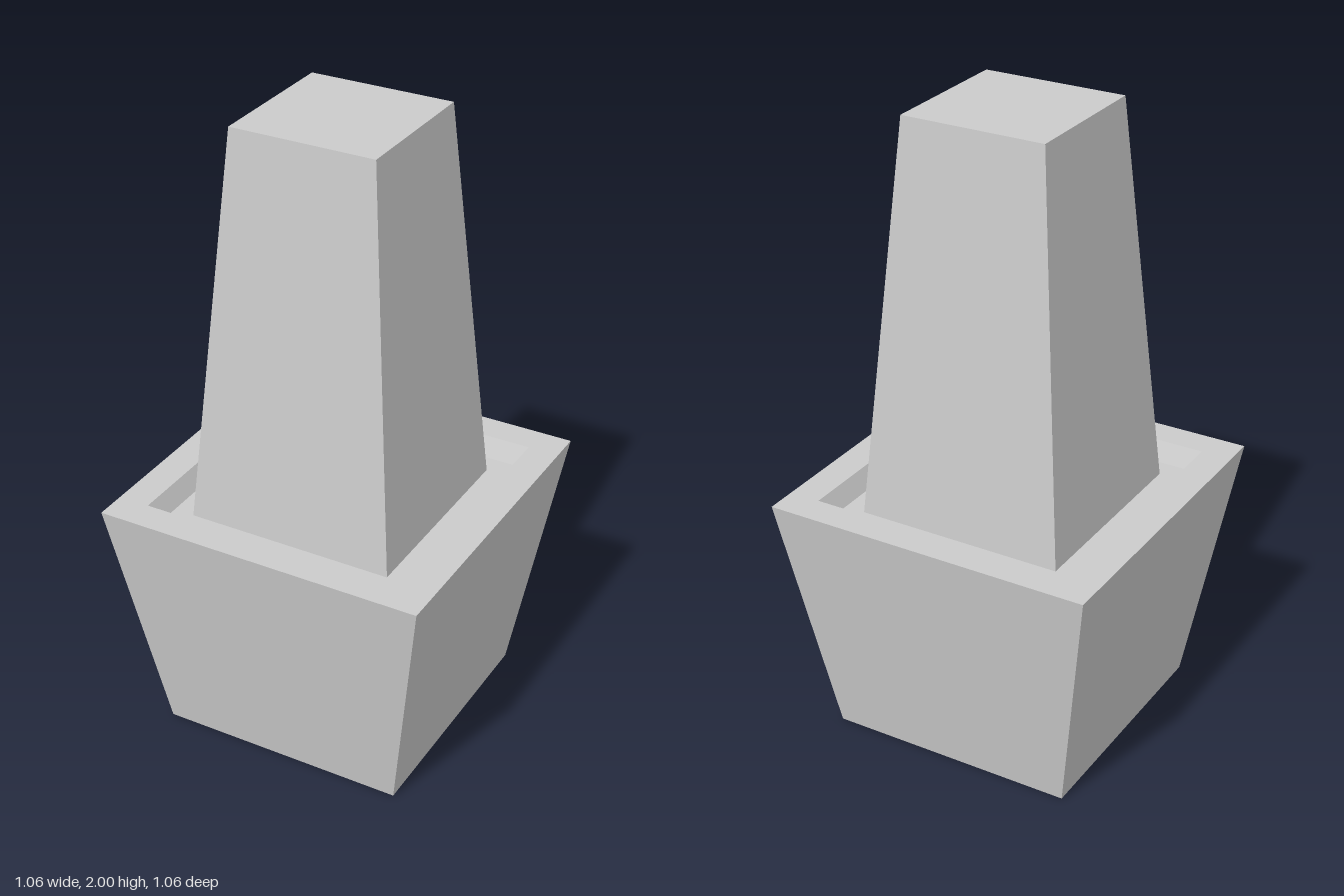
import * as THREE from 'three';

const material = new THREE.MeshStandardMaterial({
  color: 0xcccccc, flatShading: true, side: THREE.DoubleSide,
});

// Square-section solid from a profile of [half width, height] points
function squareTurned(name, profile) {
  const points = profile.map(([half, y]) => new THREE.Vector2(half * Math.SQRT2, y));
  const geometry = new THREE.LatheGeometry(points, 4, Math.PI / 4).toNonIndexed();
  geometry.computeVertexNormals();
  const mesh = new THREE.Mesh(geometry, material);
  mesh.name = name;
  return mesh;
}

export function createModel() {
  const group = new THREE.Group();
  group.name = 'pottedShrub';

  const soilY = 0.75;

  // Flared planter, open underneath, with a flat rim and a sloped inner lip
  group.add(squareTurned('planter', [[0.4, 0], [0.53, 0.81], [0.43, 0.81], [0.4, soilY]]));

  // Soil surface inside the lip
  group.add(squareTurned('soil', [[0.4, soilY], [0, soilY]]));

  // Tapered block-shaped shrub with a flat top
  group.add(squareTurned('shrub', [[0.333, soilY], [0.23, 2], [0, 2]]));

  return group;
}
